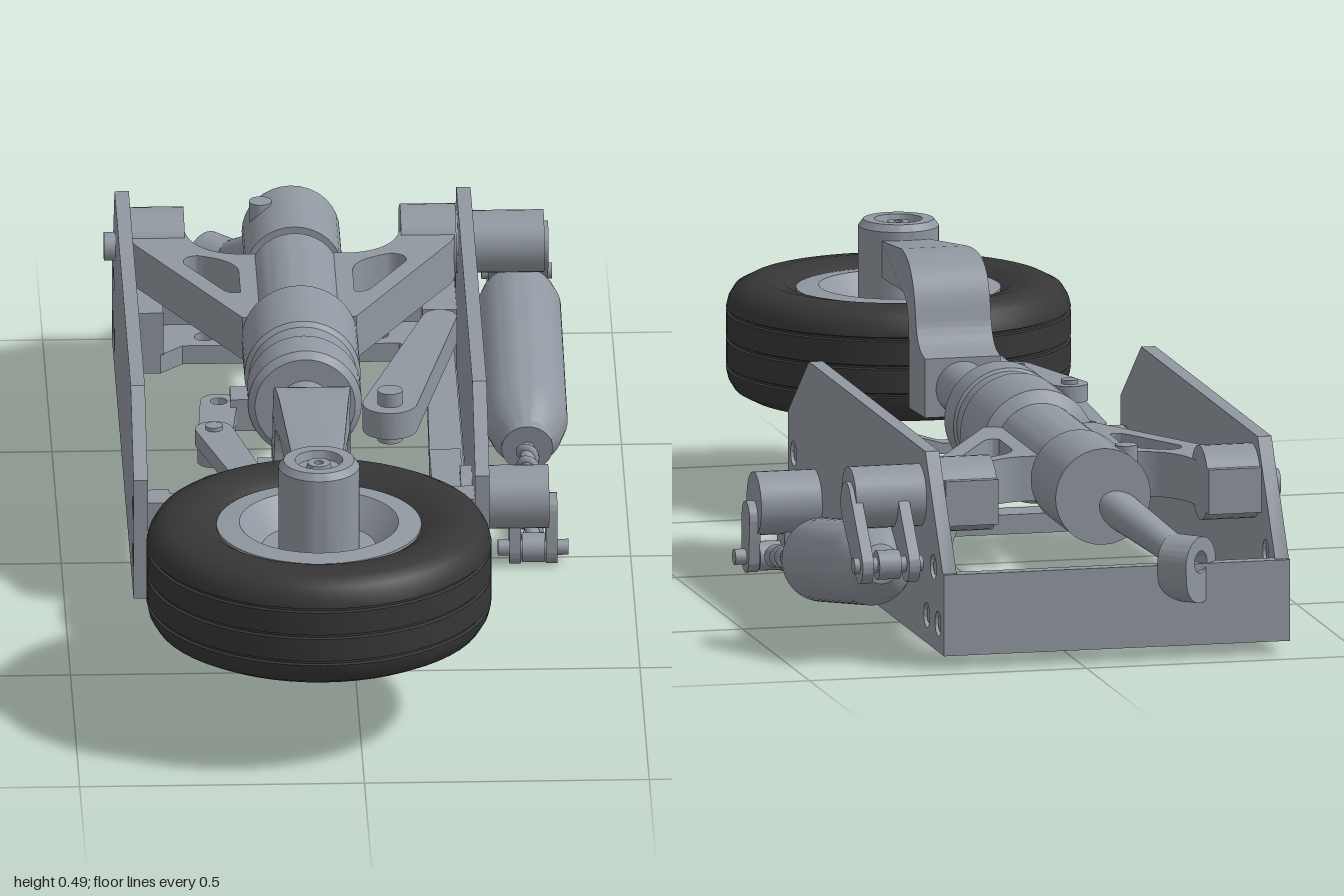
import * as THREE from 'three';
import { toCreasedNormals } from 'three/addons/utils/BufferGeometryUtils.js';

const CX = -0.07; // centre line of strut and wheel
const SY = 0.275; // height of the strut axis

export function createModel() {
  const model = new THREE.Group();
  model.name = 'retractableWheelStrut';
  const metal = new THREE.MeshStandardMaterial({ color: 0x9097a0 });
  metal.name = 'grey metal';
  const rubber = new THREE.MeshStandardMaterial({ color: 0x363636 });
  rubber.name = 'black rubber';
  const V = (x, y, z) => new THREE.Vector3(x, y, z);

  const add = (name, geo, mat = metal) => {
    const m = new THREE.Mesh(geo, mat);
    m.name = name;
    model.add(m);
    return m;
  };
  const box = (name, x0, x1, y0, y1, z0, z1) =>
    add(name, new THREE.BoxGeometry(x1 - x0, y1 - y0, z1 - z0)
      .translate((x0 + x1) / 2, (y0 + y1) / 2, (z0 + z1) / 2));
  // places a geometry built along +y from 0 so that it runs from a towards b
  const along = (name, geo, a, b) => {
    const m = add(name, geo);
    m.position.copy(a);
    m.quaternion.setFromUnitVectors(V(0, 1, 0), b.clone().sub(a).normalize());
    return m;
  };
  const rod = (name, a, b, r, r2 = r) => {
    const l = a.distanceTo(b);
    return along(name, new THREE.CylinderGeometry(r2, r, l, 32).translate(0, l / 2, 0), a, b);
  };
  const lathe = pts => toCreasedNormals(
    new THREE.LatheGeometry(pts.map(p => new THREE.Vector2(p[0], p[1])), 56), 0.6);
  const poly = pts => new THREE.Shape(pts.map(p => new THREE.Vector2(p[0], p[1])));
  const hole = (s, x, y, r) => s.holes.push(new THREE.Path().absarc(x, y, r, 0, Math.PI * 2, true));
  const extrude = (s, depth) => toCreasedNormals(
    new THREE.ExtrudeGeometry(s, { depth, bevelEnabled: false, curveSegments: 16 }), 0.6);
  // (z, y) profile spanning x0..x1
  const side = (s, x0, x1) => extrude(s, x1 - x0).rotateY(-Math.PI / 2).translate(x1, 0, 0);
  // (x, z) plan spanning y0..y1
  const plan = (s, y0, y1) => extrude(s, y1 - y0).rotateX(Math.PI / 2).translate(0, y1, 0);
  // two circles joined by their tangents
  const link = (ax, ay, ar, bx, by, br) => {
    const a = Math.atan2(by - ay, bx - ax);
    const o = Math.acos((ar - br) / Math.hypot(bx - ax, by - ay));
    return new THREE.Shape()
      .absarc(ax, ay, ar, a + o, a - o + Math.PI * 2, false)
      .absarc(bx, by, br, a - o, a + o, false);
  };

  // Side plates with bolt holes
  for (const [name, x0, x1] of [['rightSidePlate', -0.38, -0.355], ['leftSidePlate', 0.22, 0.245]]) {
    const s = poly([[0.215, 0.025], [0.215, 0.25], [0.06, 0.365], [-0.81, 0.365], [-0.94, 0.17], [-0.94, 0.025]]);
    for (const [z, y] of [[0.175, 0.18], [0.175, 0.09], [-0.82, 0.075], [-0.905, 0.075], [-0.87, 0.17]]) {
      hole(s, z, y, 0.022);
      rod('bolt', V(x0 + 0.004, y, z), V(x1 - 0.004, y, z), 0.015);
    }
    add(name, side(s, x0, x1));
  }

  // Front cross member with two windows
  const front = poly([[-0.355, 0.025], [0.22, 0.025], [0.22, 0.2], [0.13, 0.2], [0.03, 0.205],
    [-0.02, 0.19], [-0.12, 0.19], [-0.17, 0.205], [-0.27, 0.2], [-0.355, 0.2]]);
  for (const k of [1, -1]) {
    const p = new THREE.Path();
    p.moveTo(CX + k * 0.045, 0.06);
    p.lineTo(CX + k * 0.145, 0.06);
    p.quadraticCurveTo(CX + k * 0.165, 0.06, CX + k * 0.165, 0.08);
    p.lineTo(CX + k * 0.165, 0.11);
    p.quadraticCurveTo(CX + k * 0.165, 0.125, CX + k * 0.15, 0.132);
    p.lineTo(CX + k * 0.08, 0.165);
    p.quadraticCurveTo(CX + k * 0.03, 0.185, CX + k * 0.025, 0.14);
    p.lineTo(CX + k * 0.025, 0.08);
    p.quadraticCurveTo(CX + k * 0.025, 0.06, CX + k * 0.045, 0.06);
    front.holes.push(p);
    // Lug on the cross member
    const lug = link(CX + k * 0.155, 0.17, 0.045, CX + k * 0.155, 0.105, 0.032);
    hole(lug, CX + k * 0.155, 0.105, 0.016);
    add('frontLug', plan(lug, 0.165, 0.2));
  }
  add('frontCrossMember', extrude(front, 0.035).translate(0, 0, 0.155));
  box('frontCrossFoot', -0.355, 0.22, 0.025, 0.06, 0.14, 0.205);
  for (const x of [-0.335, 0.2]) box('frontCornerBlock', x - 0.02, x + 0.02, 0.025, 0.2, 0.14, 0.2);

  // Rear cross member: floor, wall and corner blocks
  const floor = poly([[-0.355, -0.94], [0.22, -0.94], [0.22, -0.79], [0.16, -0.79], [0.12, -0.83],
    [-0.26, -0.83], [-0.3, -0.79], [-0.355, -0.79]]);
  for (const x of [-0.22, 0.085]) hole(floor, x, -0.87, 0.018);
  add('rearFloor', plan(floor, 0.025, 0.06));
  box('rearWall', -0.38, 0.245, 0.025, 0.17, -0.95, -0.925);
  for (const x of [-0.325, 0.19]) box('rearCornerBlock', x - 0.03, x + 0.03, 0.06, 0.14, -0.93, -0.79);

  // Shock strut body, collar, head and sliding tube
  along('shockBody', lathe([[0, 0], [0.088, 0], [0.1, 0.012], [0.1, 0.08], [0.095, 0.085], [0.095, 0.13],
    [0.102, 0.14], [0.102, 0.3], [0.08, 0.315], [0.08, 0.585], [0.066, 0.6], [0.066, 0.63], [0, 0.63]]),
  V(CX, SY, -0.05), V(CX, SY, -1));
  rod('shockHead', V(CX, SY, -0.65), V(CX, SY, -0.835), 0.086);
  rod('headPin', V(-0.125, 0.25, -0.78), V(-0.125, 0.356, -0.78), 0.02);
  rod('slidingTube', V(CX, SY, -0.06), V(CX, SY, 0.24), 0.048);

  // Swinging arms either side of the strut with pivot bosses
  for (const k of [1, -1]) {
    const X = d => CX + k * d;
    const s = new THREE.Shape();
    s.moveTo(X(0.03), -0.35);
    s.lineTo(X(0.1), -0.355);
    s.lineTo(X(0.275), -0.68);
    s.quadraticCurveTo(X(0.285), -0.7, X(0.285), -0.73);
    s.lineTo(X(0.285), -0.84);
    s.lineTo(X(0.19), -0.84);
    s.lineTo(X(0.19), -0.75);
    s.quadraticCurveTo(X(0.18), -0.65, X(0.1), -0.64);
    s.lineTo(X(0.03), -0.64);
    const h = new THREE.Path();
    h.moveTo(X(0.1), -0.47);
    h.lineTo(X(0.1), -0.56);
    h.quadraticCurveTo(X(0.1), -0.61, X(0.17), -0.635);
    h.quadraticCurveTo(X(0.2), -0.63, X(0.195), -0.6);
    h.lineTo(X(0.13), -0.48);
    h.quadraticCurveTo(X(0.115), -0.46, X(0.1), -0.47);
    s.holes.push(h);
    add('swingArm', plan(s, 0.235, 0.315));
    rod('pivotBoss', V(X(0.19), 0.28, -0.77), V(X(0.287), 0.28, -0.77), 0.066);
  }
  rod('pivotPin', V(-0.4, 0.275, -0.775), V(-0.34, 0.275, -0.775), 0.025);

  // Wheel arm, cranked over the tyre and narrowing towards the axle
  const arm = new THREE.Shape();
  arm.moveTo(0.215, 0.225);
  arm.lineTo(0.34, 0.22);
  arm.lineTo(0.34, 0.34);
  arm.bezierCurveTo(0.34, 0.4, 0.37, 0.42, 0.42, 0.415);
  arm.lineTo(0.65, 0.395);
  arm.lineTo(0.65, 0.46);
  arm.lineTo(0.45, 0.485);
  arm.bezierCurveTo(0.34, 0.5, 0.3, 0.47, 0.285, 0.39);
  arm.quadraticCurveTo(0.275, 0.345, 0.24, 0.335);
  arm.lineTo(0.215, 0.33);
  const armGeo = side(arm, -0.068, 0.068);
  const p = armGeo.attributes.position;
  for (let i = 0; i < p.count; i++) {
    p.setX(i, p.getX(i) * (1 - 0.38 * THREE.MathUtils.smoothstep(p.getZ(i), 0.3, 0.65)));
  }
  add('wheelArm', toCreasedNormals(armGeo, 0.6).translate(CX, 0, 0));

  // Torque links
  const torque = [[-0.22, -0.1], [-0.235, 0.1], [-0.185, 0.29]];
  for (let i = 0; i < 2; i++) {
    const [a, b] = [torque[i], torque[i + 1]];
    const s = link(a[0], a[1], 0.033, b[0], b[1], 0.029);
    hole(s, a[0], a[1], 0.015);
    hole(s, b[0], b[1], 0.015);
    add('torqueLink', plan(s, 0.235 + i * 0.033, 0.265 + i * 0.033));
  }
  rod('torqueLinkPin', V(-0.235, 0.23, 0.1), V(-0.235, 0.305, 0.1), 0.015);
  box('collarLug', -0.2, -0.12, 0.22, 0.28, -0.13, -0.07);
  box('armLug', -0.165, -0.1, 0.25, 0.31, 0.26, 0.32);

  // Tyre with three grooves
  const tyre = [[0.178, 0.362], [0.2, 0.376], [0.235, 0.383], [0.265, 0.38], [0.288, 0.368], [0.299, 0.35]];
  for (const y of [0.33, 0.28, 0.23]) tyre.push([0.303, y + 0.004], [0.298, y + 0.002], [0.298, y - 0.002], [0.303, y - 0.004]);
  tyre.push([0.299, 0.208], [0.288, 0.19], [0.265, 0.178], [0.235, 0.175], [0.2, 0.182], [0.178, 0.196]);
  add('tyre', lathe(tyre.reverse()), rubber).position.set(CX, 0, 0.695);

  // Rim, dished on both faces, and axle hub
  add('rim', lathe([[0, 0.195], [0.04, 0.195], [0.045, 0.215], [0.1, 0.235], [0.13, 0.2], [0.14, 0.186], [0.18, 0.19],
    [0.18, 0.368], [0.14, 0.372], [0.13, 0.36], [0.1, 0.325], [0, 0.325]])).position.set(CX, 0, 0.695);
  add('axleHub', lathe([[0, 0.3], [0.071, 0.3], [0.071, 0.478], [0.062, 0.49], [0.042, 0.49], [0.038, 0.475],
    [0.022, 0.475], [0.02, 0.485], [0.008, 0.485], [0.008, 0.47], [0, 0.47]])).position.set(CX, 0, 0.695);

  // Retraction actuator: body, threaded rod and end eyes
  const ax = 0.328, tail = V(ax, 0.178, -0.87), tip = V(ax, 0.03, 0.02);
  const len = tail.distanceTo(tip);
  along('actuatorBody', lathe([[0, 0.04], [0.035, 0.05], [0.066, 0.09], [0.074, 0.12], [0.074, 0.49], [0.062, 0.535],
    [0.045, 0.56], [0.045, 0.58], [0, 0.58]]).translate(0, 0, 0), tail, tip);
  rod('actuatorRod', tail, tip, 0.013);
  const helix = Array.from({ length: 61 }, (_, i) =>
    V(0.013 * Math.cos(i * 0.8), 0.57 + (len - 0.6) * i / 60, 0.013 * Math.sin(i * 0.8)));
  along('rodThread', new THREE.TubeGeometry(new THREE.CatmullRomCurve3(helix), 240, 0.008, 6), tail, tip);
  for (const e of [tail, tip]) {
    rod('actuatorEye', V(ax - 0.02, e.y, e.z), V(ax + 0.02, e.y, e.z), 0.026);
    rod('actuatorPin', V(ax - 0.062, e.y, e.z), V(ax + 0.062, e.y, e.z), 0.014);
  }

  // Cranks joining the actuator to the side plate
  rod('frontCrankHub', V(0.2, 0.125, 0.015), V(0.355, 0.125, 0.015), 0.056);
  rod('rearCrankHub', V(0.2, 0.28, -0.765), V(0.372, 0.28, -0.765), 0.055);
  for (const k of [-1, 1]) {
    const x = ax + k * 0.032, x2 = ax + k * 0.042;
    add('frontCrank', side(link(0.015, 0.1, 0.03, tip.z, tip.y, 0.028), x - 0.01, x + 0.01));
    add('rearCrank', side(link(-0.775, 0.27, 0.04, tail.z, tail.y, 0.032), x2 - 0.01, x2 + 0.01));
  }

  // Side brace and lever inside the frame
  add('sideBrace', plan(link(0.085, -0.235, 0.048, 0.185, -0.62, 0.03), 0.15, 0.2));
  rod('bracePin', V(0.085, 0.13, -0.235), V(0.085, 0.225, -0.235), 0.022);
  box('innerLever', 0.15, 0.205, 0.09, 0.16, -0.12, 0.06);
  add('leverBar', plan(link(0.18, -0.08, 0.03, 0.185, -0.6, 0.025), 0.1, 0.14));

  // Rear uplock bracket and its rod
  const lug = link(0, 0.172, 0.048, 0, 0.148, 0.046);
  hole(lug, 0, 0.175, 0.02);
  const bracket = add('rearBracket', extrude(lug, 0.06).translate(0, 0, -0.03));
  bracket.position.set(-0.195, 0, -0.94);
  bracket.rotation.y = 0.76;
  rod('rearRod', V(-0.185, 0.185, -0.93), V(-0.08, 0.265, -0.8), 0.026, 0.036);

  return model;
}
